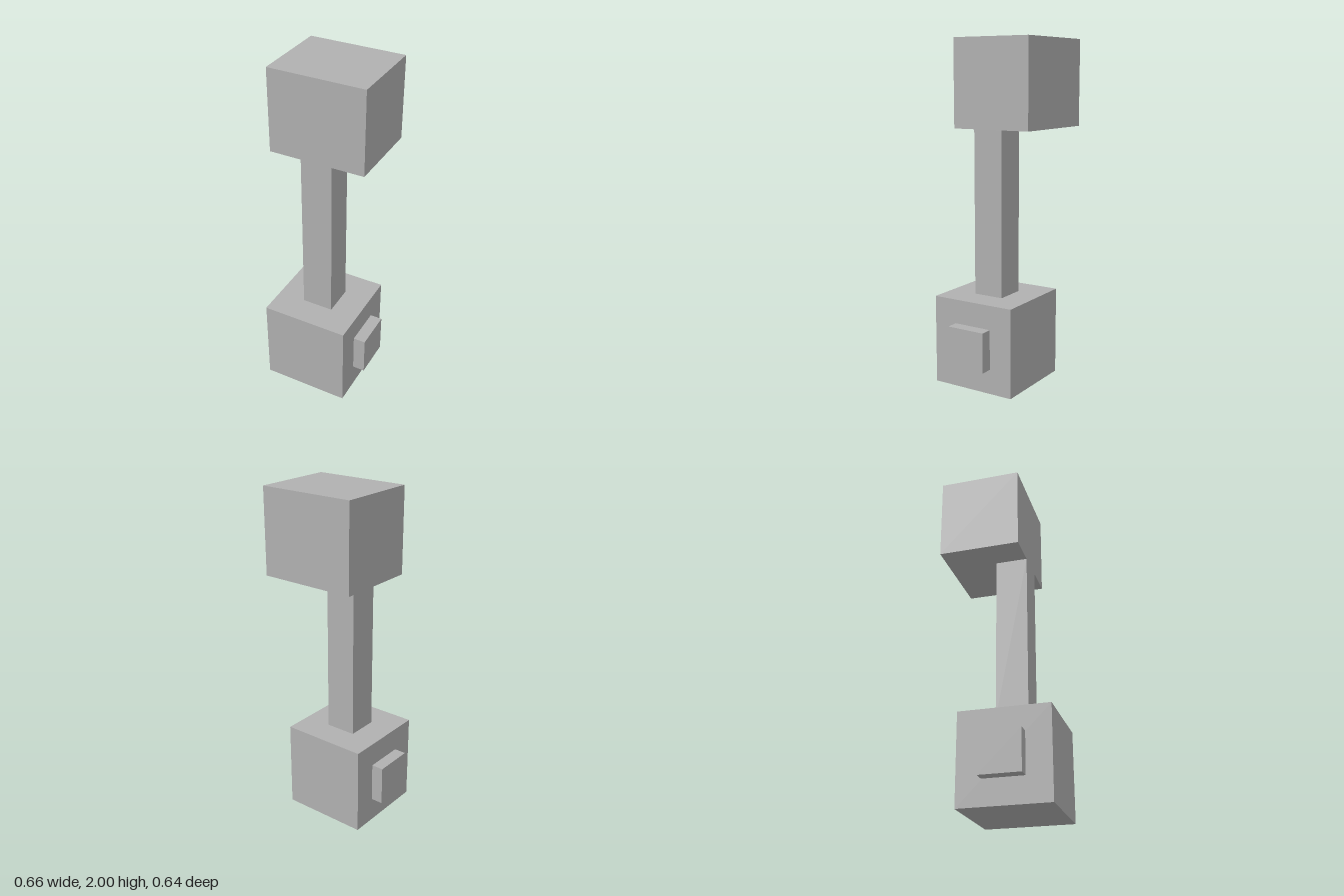
import * as THREE from 'three';

export function createModel() {
  const model = new THREE.Group();
  model.name = 'postWithBlocks';
  const grey = new THREE.MeshStandardMaterial({ color: 0xb0b0b0 });
  grey.name = 'plain grey';

  // Box given by its extents along each axis
  function addBox(name, [x0, x1], [y0, y1], [z0, z1]) {
    const mesh = new THREE.Mesh(new THREE.BoxGeometry(x1 - x0, y1 - y0, z1 - z0), grey);
    mesh.position.set((x0 + x1) / 2, (y0 + y1) / 2, (z0 + z1) / 2);
    mesh.name = name;
    model.add(mesh);
  }

  // Base block, post and overhanging head
  addBox('base', [-0.259, 0.259], [0, 0.523], [-0.198, 0.32]);
  addBox('post', [-0.093, 0.093], [0.523, 1.509], [-0.033, 0.153]);
  addBox('head', [-0.285, 0.285], [1.509, 2], [-0.321, 0.153]);

  // Raised pads on both sides of the base
  addBox('leftPad', [0.259, 0.331], [0.146, 0.381], [-0.059, 0.177]);
  addBox('rightPad', [-0.331, -0.259], [0.146, 0.381], [-0.059, 0.177]);

  return model;
}
